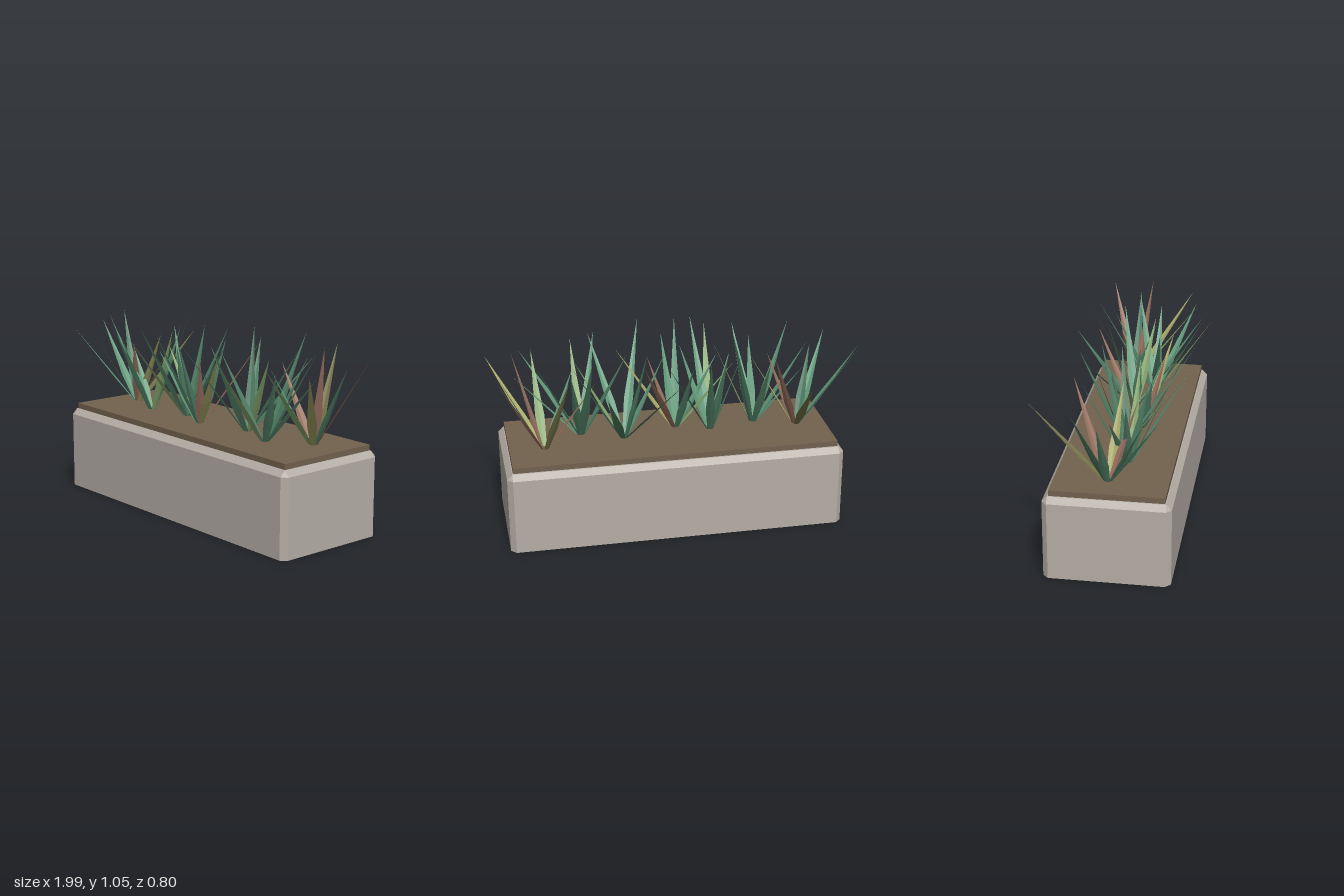
import * as THREE from 'three';

const mat = (color) => new THREE.MeshStandardMaterial({ color, flatShading: true, side: THREE.DoubleSide });

// Leaf colours: green, dark green, light green, yellow, red-brown, olive
const LEAF = {
  g: mat(0x62997a), d: mat(0x4c7a60), l: mat(0x88a870),
  y: mat(0xa8a868), r: mat(0x98705f), o: mat(0x77754a),
};

// Each clump: foot position, leaf colours, leaf height steps, leaf tips [x, z] seen from above
const CLUMPS = [
  { at: [-0.67, 0], tint: 'ordggdry', rise: '57766556', tips: [[-0.64, -0.4], [-0.49, -0.2], [-0.97, -0.13], [-1, 0], [-0.89, 0.28], [-0.79, 0.2], [-0.53, 0.13], [-0.4, 0.04]] },
  { at: [-0.445, 0.07], tint: 'ddgggglg', rise: '69687674', tips: [[-0.48, -0.16], [-0.29, -0.09], [-0.74, 0.1], [-0.66, 0.2], [-0.385, 0.36], [-0.46, 0.27], [-0.22, 0.1], [-0.7, 0.01]] },
  { at: [-0.195, 0.02], tint: 'ddglggdg', rise: '77778665', tips: [[-0.145, -0.235], [-0.25, -0.15], [-0.37, -0.03], [-0.235, 0.395], [-0.15, 0.37], [-0.06, 0.2], [0.06, -0.04], [-0.33, 0.17]] },
  { at: [-0.015, 0.08], tint: 'ryrggldg', rise: '76578565', tips: [[0.2, -0.19], [0.29, 0.21], [0.12, 0.19], [0.03, 0.27], [-0.06, 0.35], [-0.33, 0.04], [-0.07, -0.15], [-0.26, 0.165]] },
  { at: [0.28, 0], tint: 'ddggglgd', rise: '65778668', tips: [[0.01, -0.33], [0.41, -0.35], [0.57, -0.1], [0.42, 0.35], [0.14, 0.375], [0.53, 0.08], [0.05, 0.06], [0.17, -0.14]] },
  { at: [0.5, 0.08], tint: 'ddglggdg', rise: '86667567', tips: [[0.47, -0.235], [0.57, -0.155], [0.8, 0.28], [0.51, 0.395], [0.385, 0.36], [0.86, 0.07], [0.23, 0.14], [0.75, -0.04]] },
  { at: [0.71, -0.06], tint: 'rodyrlgr', rise: '77668655', tips: [[0.96, -0.22], [0.6, -0.33], [0.94, -0.06], [0.985, 0.24], [0.86, 0.02], [0.735, 0.29], [0.54, 0.08], [0.43, -0.1]] },
];

// Loft quads between closed rings of equal point count
function loft(rings) {
  const n = rings[0].length, pos = rings.flat(2), index = [];
  for (let r = 0; r < rings.length - 1; r++) {
    for (let i = 0; i < n; i++) {
      const a = r * n + i, b = r * n + (i + 1) % n;
      index.push(a, a + n, b, b, a + n, b + n);
    }
  }
  return flatGeometry(pos, index);
}

// Faceted geometry from points and triangle corners
function flatGeometry(pos, index) {
  const g = new THREE.BufferGeometry();
  g.setAttribute('position', new THREE.Float32BufferAttribute(pos, 3));
  g.setIndex(index);
  const flat = g.toNonIndexed();
  flat.computeVertexNormals();
  return flat;
}

// Rectangle ring with cut corners
function ring(w, d, cut, y) {
  return [
    [w, d - cut], [w, cut - d], [w - cut, -d], [cut - w, -d],
    [-w, cut - d], [-w, d - cut], [cut - w, d], [w - cut, d],
  ].map(([x, z]) => [x, y, z]);
}

// Pointed blade, widest a third of the way up, with a shallow centre fold
function leafGeometry(base, tip) {
  const along = tip.clone().sub(base);
  const side = new THREE.Vector3(along.z, 0, -along.x).normalize();
  const fold = new THREE.Vector3().crossVectors(side, along).normalize();
  const pos = [], rows = [[0, 0.013], [0.33, 0.025], [1, 0]];
  for (const [t, w] of rows) {
    const c = base.clone().addScaledVector(along, t);
    pos.push(...c.clone().addScaledVector(side, -w));
    pos.push(...c.clone().addScaledVector(fold, w * 0.2));
    pos.push(...c.clone().addScaledVector(side, w));
  }
  return flatGeometry(pos, [0, 1, 3, 1, 4, 3, 1, 2, 4, 2, 5, 4, 3, 4, 7, 4, 5, 7]);
}

export function createModel() {
  const model = new THREE.Group();
  model.name = 'planterBox';

  // Trough: chamfered shell, open underneath
  const c = 0.028, w = 0.895, d = 0.323;
  const trough = new THREE.Mesh(loft([
    ring(w, d, c, 0), ring(w, d, c, 0.416),
    ring(w - c, d - c, 0, 0.445), ring(w - 0.04, d - 0.04, 0, 0.445),
  ]), mat(0xb5aea6));
  trough.name = 'trough';
  trough.position.set(0.035, 0, 0.018);
  model.add(trough);

  // Soil slab on top
  const soil = new THREE.Mesh(new THREE.BoxGeometry(1.725, 0.03, 0.578), mat(0x73624f));
  soil.name = 'soil';
  soil.position.set(0.035, 0.461, 0.018);
  model.add(soil);

  // Clumps of spiky leaves
  CLUMPS.forEach(({ at, tint, rise, tips }, k) => {
    const clump = new THREE.Group();
    clump.name = `plant${k + 1}`;
    tips.forEach(([x, z], i) => {
      const dx = x - at[0], dz = z - at[1], r = Math.hypot(dx, dz);
      const base = new THREE.Vector3(at[0] + dx / r * 0.012, 0.465, at[1] + dz / r * 0.012);
      const tip = new THREE.Vector3(x, 0.6 + 0.05 * Number(rise[i]), z);
      const leaf = new THREE.Mesh(leafGeometry(base, tip), LEAF[tint[i]]);
      leaf.name = 'leaf';
      clump.add(leaf);
    });
    model.add(clump);
  });
  return model;
}
